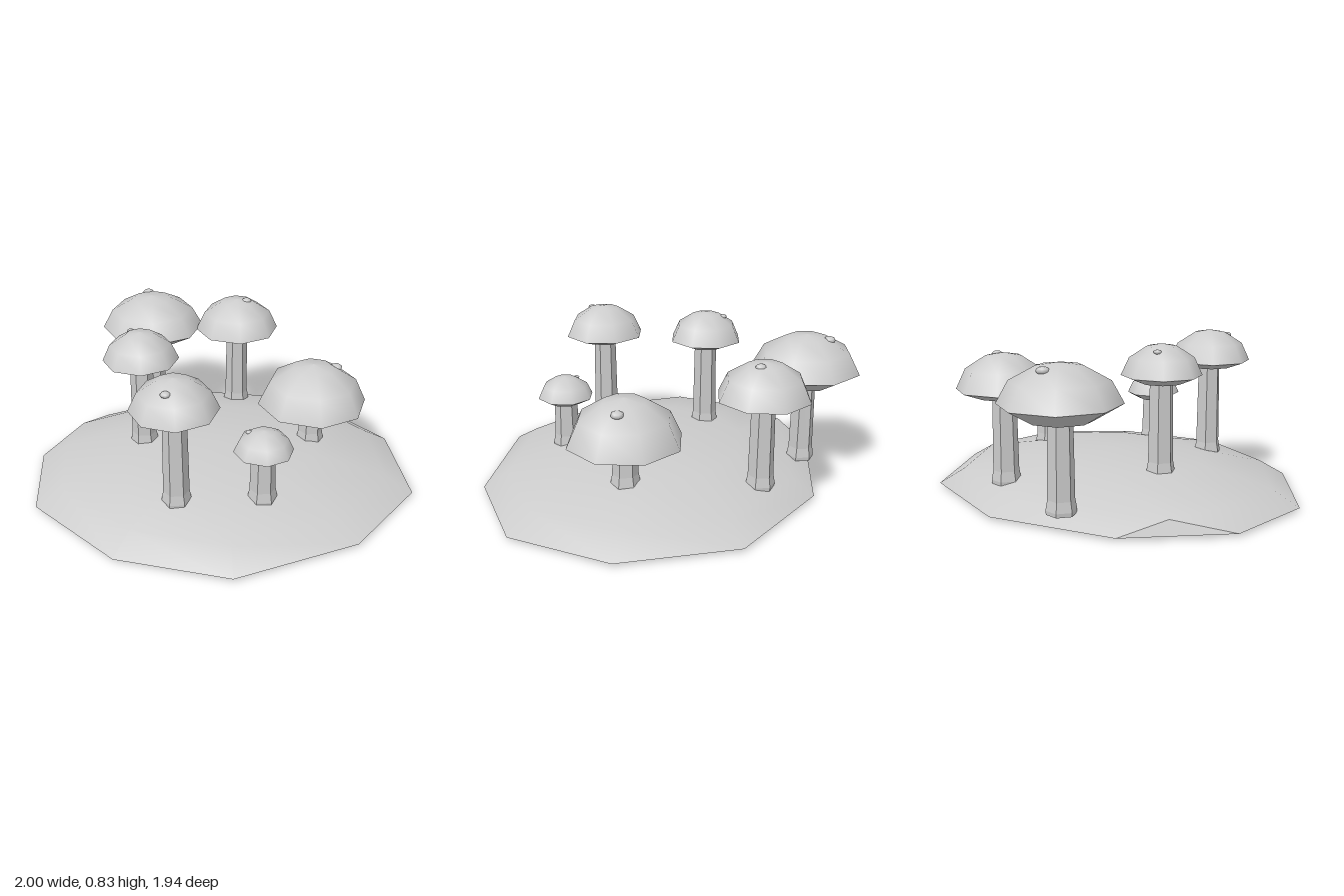
import * as THREE from 'three';
import { toCreasedNormals } from 'three/addons/utils/BufferGeometryUtils.js';

const grey = new THREE.MeshStandardMaterial({ color: 0xcccccc });
grey.name = 'light grey';

function part(name, geometry) {
  const mesh = new THREE.Mesh(geometry, grey);
  mesh.name = name;
  return mesh;
}

// Turned shape from [radius, height] pairs listed bottom to top
function turned(points, sides, start = 0) {
  return new THREE.LatheGeometry(points.map(([r, y]) => new THREE.Vector2(r, y)), sides, start);
}

function faceted(geometry) {
  const flat = geometry.toNonIndexed();
  flat.computeVertexNormals();
  return flat;
}

// Low mound: irregular ten-sided outline, two inner rings and a peak
function createMound() {
  const outline = [
    [-0.99, 0.315], [-0.58, 0.775], [-0.02, 0.965], [0.615, 0.76], [1, 0.35],
    [0.995, -0.21], [0.625, -0.705], [-0.02, -0.855], [-0.65, -0.63], [-1, -0.19],
  ];
  const n = outline.length;
  const positions = [];
  const index = [];
  for (const [scale, y] of [[1, 0.015], [0.86, 0.095], [0.5, 0.17]]) {
    for (const [x, z] of outline) positions.push(x * scale, y, z * scale);
  }
  // Steep chip at the back corner: one ring point sits close to the rim
  const chip = n + 8;
  positions[chip * 3] = -0.78;
  positions[chip * 3 + 1] = 0.085;
  positions[chip * 3 + 2] = -0.42;
  const peak = 3 * n;
  positions.push(0.02, 0.203, 0.04);
  for (let i = 0; i < n; i++) {
    const j = (i + 1) % n;
    for (let ring = 0; ring < 2; ring++) {
      const a = ring * n + i, b = ring * n + j;
      index.push(a, b, a + n, b, b + n, a + n);
    }
    index.push(2 * n + i, 2 * n + j, peak);
  }
  const top = new THREE.BufferGeometry();
  top.setAttribute('position', new THREE.Float32BufferAttribute(positions, 3));
  top.setIndex(index);

  // Nearly flat underside
  const under = [];
  for (let i = 0; i < n; i++) {
    const [ax, az] = outline[i];
    const [bx, bz] = outline[(i + 1) % n];
    under.push(0, 0, 0, bx, 0.015, bz, ax, 0.015, az);
  }
  const base = new THREE.BufferGeometry();
  base.setAttribute('position', new THREE.Float32BufferAttribute(under, 3));
  base.computeVertexNormals();

  const mound = new THREE.Group();
  mound.name = 'mound';
  mound.add(part('moundTop', toCreasedNormals(top, 0.6)), part('moundBase', base));
  return mound;
}

// Mushroom: six-sided flared stalk, eight-sided dome with a shallow underside, one wart
function createMushroom({ x, z, r, foot, rim, top, drop, wart }) {
  const group = new THREE.Group();
  group.name = 'mushroom';
  group.position.set(x, 0, z);
  const h = top - rim;

  const stalk = turned([
    [0, foot], [0.073, foot], [0.075, foot + 0.02], [0.066, foot + 0.07], [0.06, rim - drop * 0.5],
  ], 6, Math.PI / 2);
  const dome = turned([
    [r, rim], [r * 0.8, rim + h * 0.56], [r * 0.37, rim + h * 0.92], [0, top],
  ], 8);
  const underside = turned([[0, rim - drop], [r * 0.55, rim - drop], [r, rim]], 8);

  const [wx, wz, wr] = wart;
  const d = Math.hypot(wx - x, wz - z) / r;
  const bump = part('wart', new THREE.SphereGeometry(wr, 8, 6));
  // Height of the dome beneath the wart
  const wy = d < 0.37 ? 1 - 0.08 * d / 0.37 : 0.92 - 0.36 * (d - 0.37) / 0.43;
  bump.scale.y = 0.6;
  bump.position.set(wx - x, rim + h * wy - wr * 0.15, wz - z);

  group.add(
    part('stalk', faceted(stalk)), part('capDome', dome),
    part('capUnderside', faceted(underside)), bump,
  );
  return group;
}

export function createModel() {
  const model = new THREE.Group();
  model.name = 'mushroomPatch';
  model.add(createMound());
  const mushrooms = [
    { x: -0.345, z: -0.68, r: 0.293, foot: 0.07, rim: 0.59, top: 0.78, drop: 0.075, wart: [-0.365, -0.795, 0.032] },
    { x: 0.15, z: -0.615, r: 0.24, foot: 0.1, rim: 0.585, top: 0.768, drop: 0.04, wart: [0.205, -0.61, 0.028] },
    { x: -0.415, z: -0.075, r: 0.202, foot: 0.15, rim: 0.658, top: 0.815, drop: 0.037, wart: [-0.463, -0.16, 0.02] },
    { x: 0.505, z: -0.03, r: 0.297, foot: 0.14, rim: 0.385, top: 0.613, drop: 0.045, wart: [0.635, -0.06, 0.033] },
    { x: -0.26, z: 0.49, r: 0.22, foot: 0.13, rim: 0.66, top: 0.827, drop: 0.036, wart: [-0.3, 0.59, 0.025] },
    { x: 0.17, z: 0.505, r: 0.15, foot: 0.13, rim: 0.42, top: 0.533, drop: 0.035, wart: [0.1, 0.475, 0.016] },
  ];
  for (const m of mushrooms) model.add(createMushroom(m));
  return model;
}
